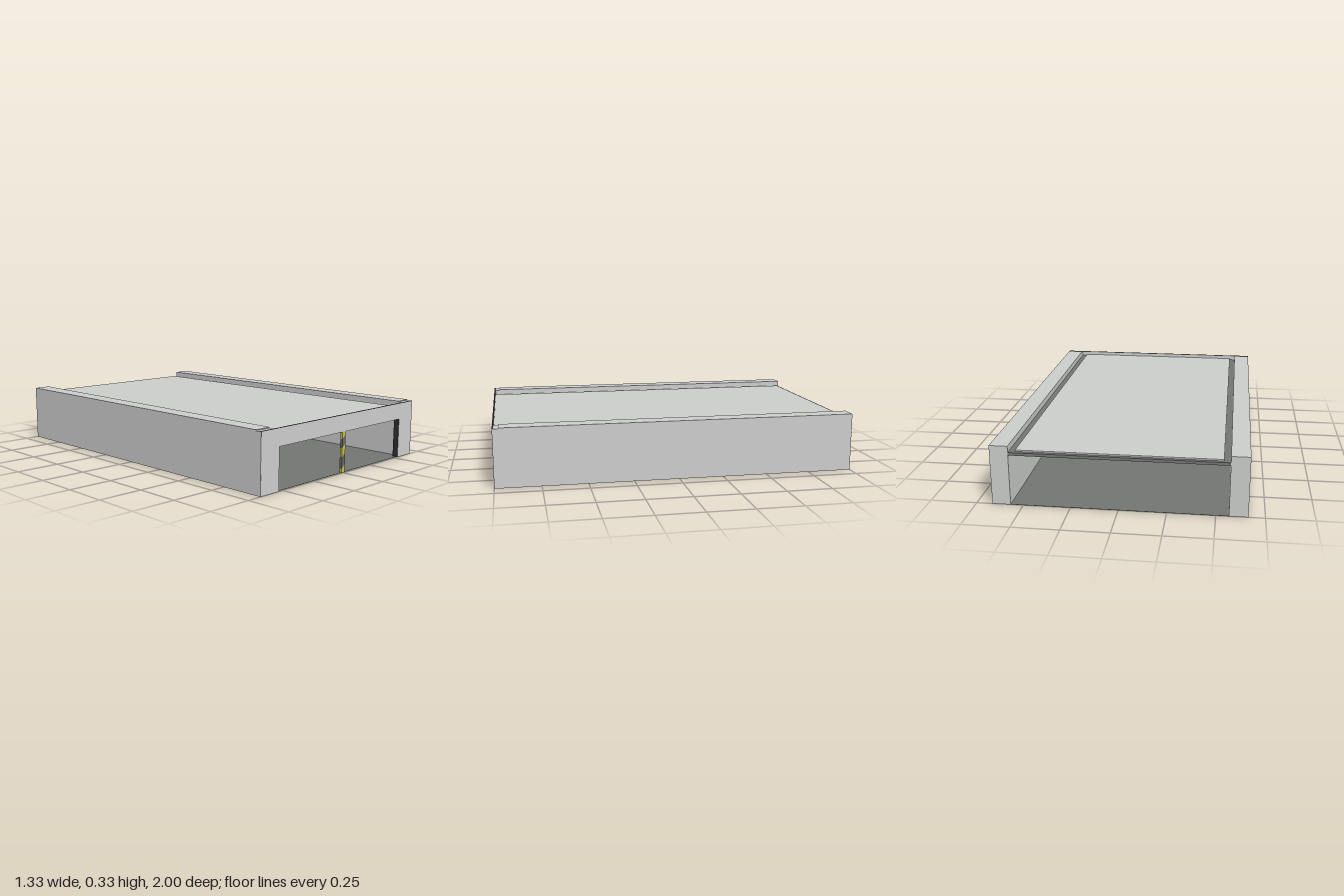
import * as THREE from 'three';

export function createModel() {
  const group = new THREE.Group();
  const mat = (name, color, side = THREE.FrontSide) => {
    const m = new THREE.MeshStandardMaterial({ color, side });
    m.name = name;
    return m;
  };
  const concrete = mat('concrete', 0xcbcdcb, THREE.DoubleSide);
  const floorGrey = mat('floor grey', 0x737573);
  const black = mat('edge black', 0x2e2e2e);
  const yellow = mat('stripe yellow', 0xc6c044);
  const charcoal = mat('stripe charcoal', 0x696969);

  const add = (name, geometry, material) => {
    const mesh = new THREE.Mesh(geometry, material);
    mesh.name = name;
    group.add(mesh);
    return mesh;
  };
  // Box given by its minimum and maximum corners
  const box = (name, material, [x0, y0, z0], [x1, y1, z1]) => {
    const mesh = add(name, new THREE.BoxGeometry(x1 - x0, y1 - y0, z1 - z0), material);
    mesh.position.set((x0 + x1) / 2, (y0 + y1) / 2, (z0 + z1) / 2);
    return mesh;
  };
  // Leaves out the downward face (fourth of the six box faces)
  const openBottom = ({ geometry }) => {
    const index = [...geometry.index.array];
    geometry.setIndex([...index.slice(0, 18), ...index.slice(24)]);
    geometry.clearGroups();
  };
  const polygon = (points) => new THREE.Shape(points.map(([x, y]) => new THREE.Vector2(x, y)));

  // Hollow side walls, stepped down slightly at the front, with dark jambs
  for (const side of [-1, 1]) {
    const name = side > 0 ? 'left' : 'right';
    const a = side > 0 ? 0.567 : -0.665;
    openBottom(box(name + 'Wall', concrete, [a, 0, -1], [a + 0.098, 0.326, 0.967]));
    openBottom(box(name + 'WallFront', concrete, [a, 0, 0.967], [a + 0.098, 0.321, 0.9995]));
    const j = side > 0 ? 0.53 : -0.534;
    box(name + 'Jamb', black, [j, 0, 0.967], [j + 0.004, 0.228, 0.992]);
  }

  // Floor sheet, dark roof deck between the walls, light roof panel on top
  box('floor', floorGrey, [-0.567, 0, -1], [0.567, 0.001, 0.992]);
  box('roofDeck', floorGrey, [-0.567, 0.276, -1], [0.567, 0.292, 0.992]);
  box('roofPanel', concrete, [-0.533, 0.292, -0.98], [0.533, 0.3, 0.992]);

  // Front portal frame with its opening
  const frame = polygon([
    [-0.664, 0], [-0.53, 0], [-0.53, 0.228], [0.53, 0.228],
    [0.53, 0], [0.664, 0], [0.664, 0.322], [-0.664, 0.322],
  ]);
  const frameGeo = new THREE.ExtrudeGeometry(frame, { depth: 0.008, bevelEnabled: false });
  add('frontFrame', frameGeo, [concrete, black]).position.z = 0.992;

  // Centre post with slanted warning stripes
  const w = 0.014, s = 0.011;
  const cuts = [0, 0.035, 0.1, 0.15, 0.2, 0.228];
  for (let i = 0; i < cuts.length - 1; i++) {
    const lo = i === 0 ? 0 : s;
    const hi = i === cuts.length - 2 ? 0 : s;
    const stripe = polygon([
      [-w, cuts[i] - lo], [w, cuts[i] + lo], [w, cuts[i + 1] + hi], [-w, cuts[i + 1] - hi],
    ]);
    const geo = new THREE.ExtrudeGeometry(stripe, { depth: 0.014, bevelEnabled: false });
    add('postStripe' + (i + 1), geo, i % 2 ? charcoal : yellow).position.z = 0.984;
  }
  return group;
}
